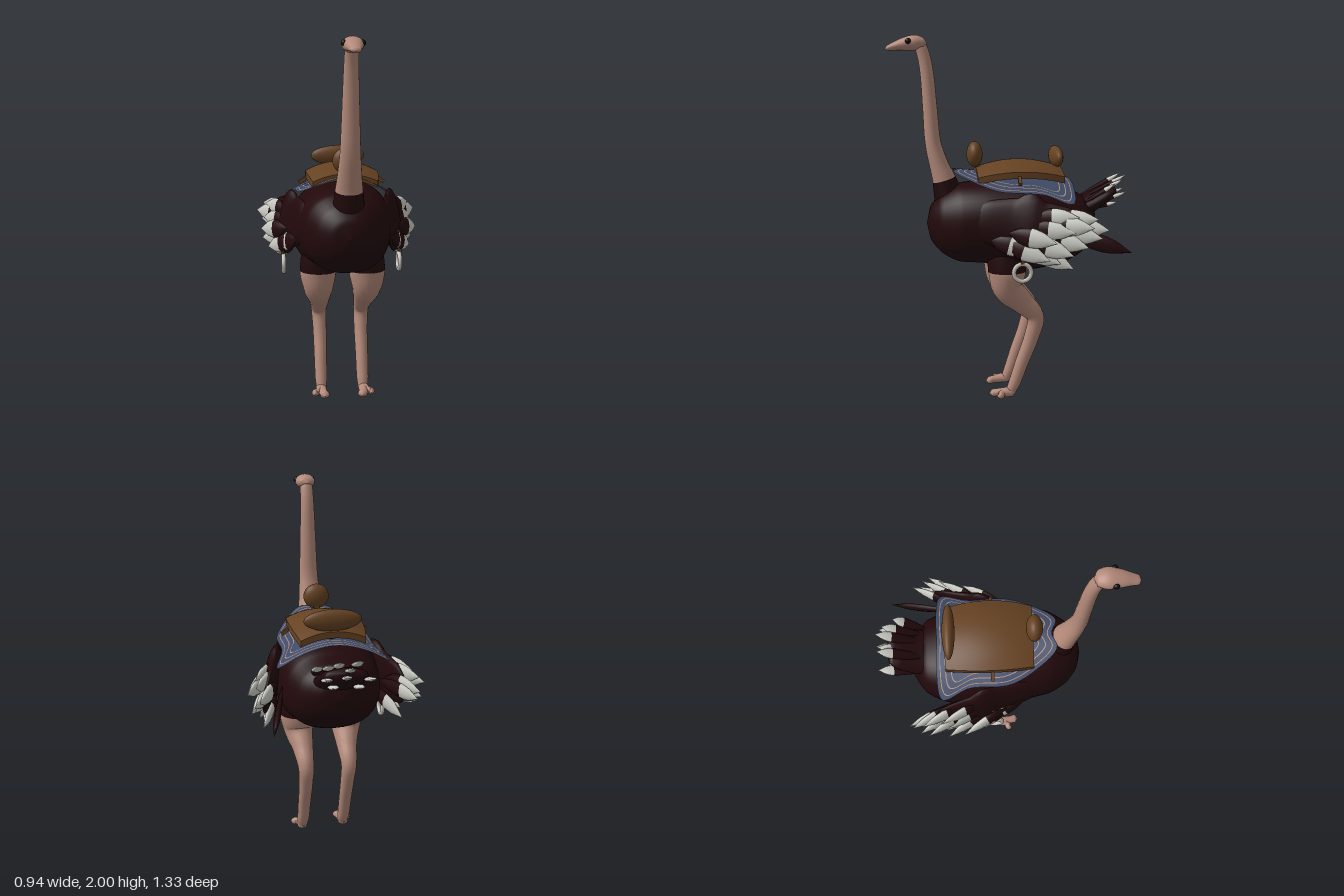
import * as THREE from 'three';

const mat = (name, color, side = THREE.FrontSide) => {
  const m = new THREE.MeshStandardMaterial({ color, side });
  m.name = name;
  return m;
};
const skin = mat('skin', 0xb48a7a);
const dark = mat('dark plumage', 0x22080b);
const white = mat('white feather', 0xcfcfc8);
const blue = mat('blue cloth', 0x3e4a67, THREE.DoubleSide);
const stripe = mat('cloth stripe', 0xb08a72, THREE.DoubleSide);
const leather = mat('leather', 0x664222);
const metal = mat('ring metal', 0xc9c4bc);
const black = mat('eye black', 0x0c0a0a);

const X = new THREE.Vector3(1, 0, 0);

// Smooth skin through sections [x, y, z, radius along wide, other radius].
// From section index "split" on, the second material is used.
// "power" below 1 makes the sections squarer.
function loft(name, sections, wide, mats, { split = 0, steps = 5, sides = 20, power = 1 } = {}) {
  const path = new THREE.CatmullRomCurve3(sections.map(s => new THREE.Vector3(s[0], s[1], s[2])));
  const radii = new THREE.CatmullRomCurve3(sections.map(s => new THREE.Vector3(s[3], s[4], 0)));
  const rings = (sections.length - 1) * steps;
  const pos = [], idx = [];
  const square = v => Math.sign(v) * Math.abs(v) ** power;
  for (let i = 0; i <= rings; i++) {
    const c = path.getPoint(i / rings), r = radii.getPoint(i / rings), t = path.getTangent(i / rings);
    const w = wide.clone().addScaledVector(t, -wide.dot(t)).normalize();
    const n = t.clone().cross(w);
    for (let j = 0; j < sides; j++) {
      const a = j / sides * Math.PI * 2;
      const p = c.clone().addScaledVector(w, Math.max(r.x, 0.0005) * square(Math.cos(a)))
        .addScaledVector(n, Math.max(r.y, 0.0005) * square(Math.sin(a)));
      pos.push(p.x, p.y, p.z);
    }
  }
  for (let i = 0; i < rings; i++) for (let j = 0; j < sides; j++) {
    const k = (j + 1) % sides, a = i * sides, b = a + sides;
    idx.push(a + j, a + k, b + j, a + k, b + k, b + j);
  }
  const g = new THREE.BufferGeometry();
  g.setAttribute('position', new THREE.Float32BufferAttribute(pos, 3));
  g.setIndex(idx);
  g.computeVertexNormals();
  const cut = split * steps * sides * 6;
  if (split) {
    g.addGroup(0, cut, 0);
    g.addGroup(cut, idx.length - cut, 1);
  }
  const mesh = new THREE.Mesh(g, split ? mats : mats[0]);
  mesh.name = name;
  return mesh;
}

function ball(name, material, x, y, z, rx, ry, rz) {
  const m = new THREE.Mesh(new THREE.SphereGeometry(1, 28, 18), material);
  m.position.set(x, y, z);
  m.scale.set(rx, ry, rz);
  m.name = name;
  return m;
}

function box(name, material, x, y, z, w, h, d) {
  const m = new THREE.Mesh(new THREE.BoxGeometry(w, h, d), material);
  m.position.set(x, y, z);
  m.name = name;
  return m;
}

// Flat pointed feather whose tip changes colour at a fraction of its length
function feather(name, base, tip, width, wide, pale, tipMat = white) {
  const at = (f, r) => [...base.map((b, i) => b + (tip[i] - b) * f), r * width, r * width * 0.4];
  return loft(name, [at(0, 0), at(pale * 0.5, 0.75), at(pale, 1), at(pale + (1 - pale) * 0.45, 0.8), at(1, 0)],
    wide, [dark, tipMat], { split: 2, steps: 3, sides: 8 });
}

// Blanket draped over the back, in rings so that bands follow its edge
function blanket() {
  const half = [[0.08, 0.31], [0.18, 0.2], [0.25, 0.05], [0.255, -0.16], [0.3, -0.31], [0.16, -0.335]];
  const pts = [[0, 0.285], ...half, [0, -0.33], ...half.slice().reverse().map(([x, z]) => [-x, z])];
  const edge = new THREE.CatmullRomCurve3(pts.map(([x, z]) => new THREE.Vector3(x, 0, z)), true);
  const rings = [0, 0.3, 0.55, 0.72, 0.735, 0.82, 0.838, 0.92, 0.935, 1], n = 96;
  const pos = [], idx = [], g = new THREE.BufferGeometry();
  rings.forEach(s => {
    for (let j = 0; j < n; j++) {
      const p = edge.getPoint(j / n), x = p.x * s, z = -0.05 + (p.z + 0.05) * s;
      pos.push(x, 1.253 + 0.09 * z - (1.25 + 2 * Math.max(z, 0)) * x * x, z);
    }
  });
  for (let i = 0; i < rings.length - 1; i++) {
    g.addGroup(idx.length, n * 6, [3, 5, 7].includes(i) ? 1 : 0);
    for (let j = 0; j < n; j++) {
      const k = (j + 1) % n, a = i * n, b = a + n;
      idx.push(a + j, b + j, a + k, a + k, b + j, b + k);
    }
  }
  g.setAttribute('position', new THREE.Float32BufferAttribute(pos, 3));
  g.setIndex(idx);
  g.computeVertexNormals();
  const m = new THREE.Mesh(g, [blue, stripe]);
  m.name = 'blanket';
  return m;
}

// Curved seat pad
function saddle() {
  const g = new THREE.BoxGeometry(0.38, 0.035, 0.47, 16, 1, 16), p = g.attributes.position;
  for (let i = 0; i < p.count; i++) {
    const z = p.getZ(i), x = p.getX(i) * (1.05 - 2.4 * z * z);
    p.setXYZ(i, x, p.getY(i) + 1.312 - 1.35 * x * x - 0.8 * z * z, z - 0.05);
  }
  g.computeVertexNormals();
  const m = new THREE.Mesh(g, leather);
  m.name = 'saddle';
  return m;
}

export function createModel() {
  const model = new THREE.Group();
  model.name = 'saddled ostrich';
  const add = (...m) => model.add(...m);

  // Body, neck and head
  add(loft('body', [
    [0, 0.98, 0.455, 0, 0], [0, 0.98, 0.435, 0.09, 0.09], [0, 0.98, 0.38, 0.165, 0.16],
    [0, 0.98, 0.28, 0.225, 0.215], [0, 0.985, 0.12, 0.262, 0.232], [0, 0.968, -0.08, 0.28, 0.255],
    [0, 0.965, -0.28, 0.255, 0.215], [0, 0.98, -0.4, 0.2, 0.158], [0, 0.985, -0.47, 0.1, 0.085],
    [0, 0.985, -0.49, 0, 0]], X, [dark], { steps: 6, sides: 40, power: 0.86 }));
  add(ball('belly', skin, 0, 0.75, -0.05, 0.16, 0.042, 0.12));
  add(loft('neck', [
    [0, 1.02, 0.3, 0.11, 0.11], [0, 1.13, 0.335, 0.085, 0.08], [0, 1.22, 0.358, 0.074, 0.065],
    [0, 1.3, 0.385, 0.064, 0.053], [0, 1.42, 0.416, 0.054, 0.044], [0, 1.6, 0.43, 0.047, 0.04],
    [0, 1.78, 0.443, 0.041, 0.037], [0, 1.87, 0.456, 0.038, 0.035], [0, 1.93, 0.473, 0.036, 0.033],
    [0, 1.97, 0.49, 0.03, 0.026]], X, [dark, skin], { split: 2 }));
  add(loft('head', [
    [0, 1.955, 0.442, 0, 0], [0, 1.956, 0.46, 0.04, 0.028], [0, 1.958, 0.51, 0.056, 0.042],
    [0, 1.95, 0.57, 0.047, 0.034], [0, 1.938, 0.62, 0.034, 0.022], [0, 1.928, 0.655, 0.026, 0.014],
    [0, 1.924, 0.668, 0, 0]], X, [skin]));

  // Tail
  add(loft('tail', [
    [0, 1.03, -0.34, 0.13, 0.08], [0, 1.08, -0.45, 0.135, 0.055], [0, 1.13, -0.54, 0.125, 0.045],
    [0, 1.155, -0.585, 0.1, 0.03], [0, 1.165, -0.6, 0, 0]], X, [dark]));
  [[-0.13, 1.14, -0.65], [-0.06, 1.24, -0.65], [0, 1.16, -0.66], [0.04, 1.24, -0.66],
    [0.1, 1.15, -0.65], [0.14, 1.2, -0.57], [-0.08, 1.08, -0.6], [0.06, 1.09, -0.61],
    [0.09, 1.22, -0.63], [-0.02, 1.2, -0.65]].forEach(t =>
    add(feather('tailFeather', [t[0] * 0.85, 1.06 + (t[1] - 1.15) * 0.4, -0.38], t, 0.03, X, 0.7)));

  const tips = [[0.47, 1.01, -0.39], [0.42, 0.99, -0.48], [0.45, 0.93, -0.2], [0.44, 0.86, -0.29],
    [0.38, 0.78, -0.3], [0.36, 0.86, -0.1], [0.41, 0.83, -0.17], [0.42, 1.06, -0.32], [0.43, 1.05, -0.42],
    [0.44, 0.95, -0.44], [0.39, 0.81, -0.23], [0.43, 0.9, -0.37], [0.43, 0.98, -0.3]];

  for (const s of [1, -1]) {
    const up = new THREE.Vector3(-0.2 * s, 1, 0.2);
    add(ball('eye', black, s * 0.047, 1.965, 0.543, 0.014, 0.016, 0.016));

    // Wing with fanned feathers
    add(loft('wing', [
      [s * 0.17, 1.04, 0.32, 0, 0], [s * 0.225, 1.02, 0.15, 0.11, 0.035], [s * 0.268, 1, 0, 0.145, 0.035],
      [s * 0.315, 0.985, -0.14, 0.145, 0.035], [s * 0.355, 0.975, -0.29, 0.12, 0.025],
      [s * 0.39, 0.97, -0.4, 0, 0]], up, [dark]));
    tips.forEach(([x, y, z]) => add(feather('wingFeather',
      [s * (0.6 * x + 0.04), 0.98 + (y - 0.95) * 0.55, z + 0.24], [s * x, y, z], 0.052, up, 0.46)));
    add(feather('rearWingFeather', [s * 0.26, 0.98, -0.2],
      s > 0 ? [0.37, 0.86, -0.61] : [-0.4, 0.96, -0.5], 0.045, up, 0.6, s > 0 ? dark : white));

    // Leg with feathered thigh, and two toes
    add(loft('leg', [
      [s * 0.13, 0.9, 0.02, 0.09, 0.12], [s * 0.138, 0.725, 0.025, 0.102, 0.104],
      [s * 0.137, 0.63, 0.02, 0.084, 0.085], [s * 0.127, 0.55, -0.055, 0.06, 0.066],
      [s * 0.123, 0.46, -0.135, 0.044, 0.048], [s * 0.12, 0.35, -0.115, 0.039, 0.042],
      [s * 0.12, 0.2, -0.06, 0.036, 0.037], [s * 0.12, 0.08, -0.018, 0.034, 0.033],
      [s * 0.12, 0.03, 0.005, 0.028, 0.026]], X, [dark, skin], { split: 1 }));
    [[0.107, 0.122, 0.027], [0.16, 0.085, 0.02]].forEach(([x, z, r]) => add(loft('toe', [
      [s * 0.12, 0.03, -0.03, 0, 0], [s * 0.122, 0.03, 0, 0.03, 0.028],
      [s * (0.06 + x / 2), 0.026, z * 0.6, r * 0.9, 0.022], [s * x, 0.022, z - 0.02, r, 0.021],
      [s * x, 0.02, z, 0, 0]], X, [skin], { steps: 4, sides: 14 })));

    // Girth tab, stirrup strap and ring
    const tab = box('girthTab', leather, s * 0.212, 1.232, -0.035, 0.06, 0.02, 0.018);
    tab.rotation.z = -s * 0.65;
    add(tab, box('stirrupStrap', leather, s * 0.334, 0.885, -0.035, 0.016, 0.16, 0.018));
    const ring = new THREE.Mesh(new THREE.TorusGeometry(0.046, 0.012, 12, 32), metal);
    ring.rotation.y = Math.PI / 2;
    ring.position.set(s * 0.328, 0.757, -0.035);
    ring.name = 'stirrupRing';
    add(ring);
  }

  // Riding gear
  add(blanket(), saddle());
  add(ball('pommel', leather, 0, 1.358, 0.19, 0.072, 0.07, 0.044));
  add(ball('cantle', leather, 0, 1.342, -0.262, 0.155, 0.058, 0.034));
  add(box('pommelPost', leather, 0, 1.28, 0.17, 0.03, 0.08, 0.02));
  add(box('cantlePost', leather, 0, 1.28, -0.25, 0.03, 0.08, 0.02));
  return model;
}
